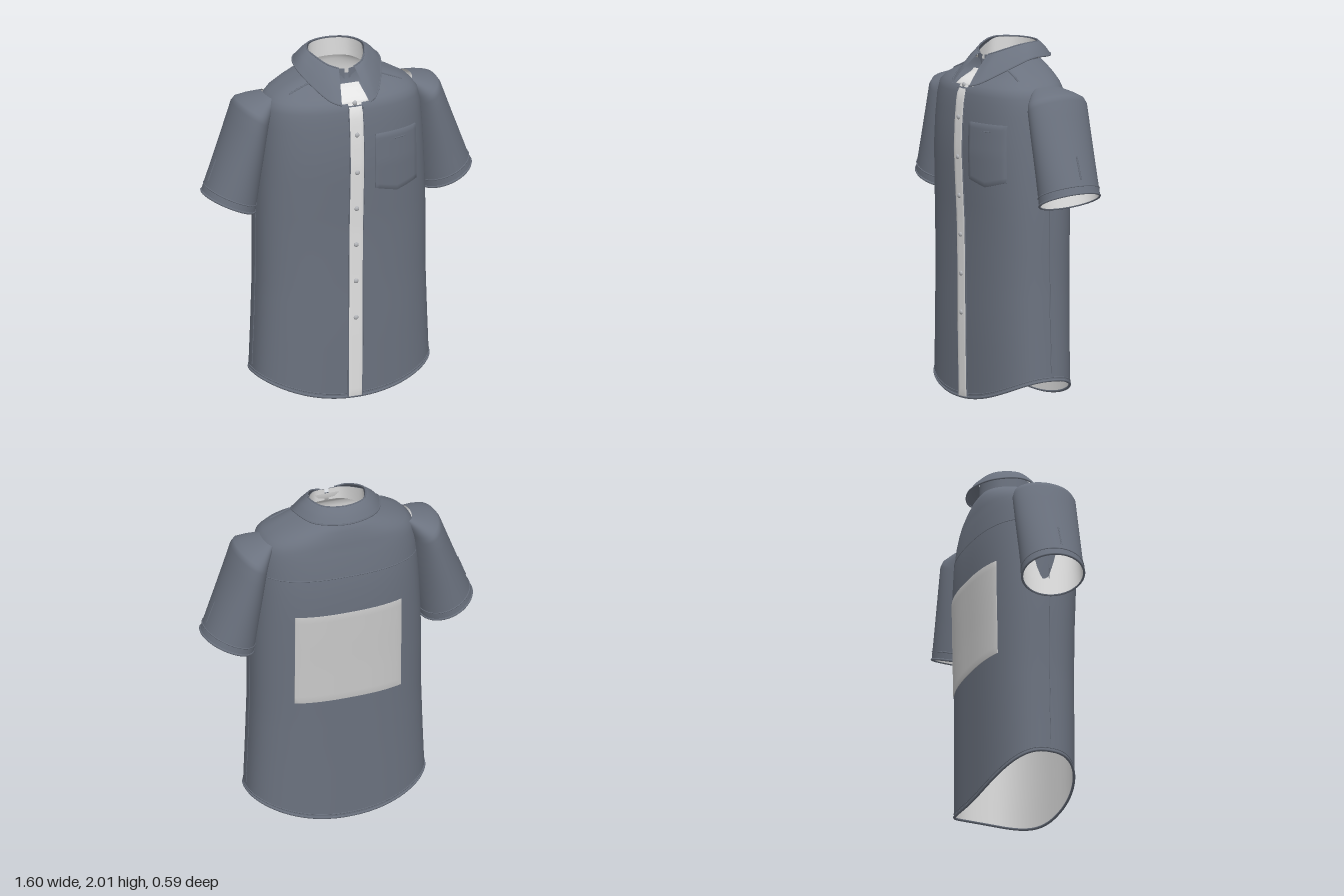
import * as THREE from 'three';

const cloth = new THREE.MeshStandardMaterial({ color: 0x6b727f, side: THREE.DoubleSide });
cloth.name = 'slate cloth';
const lining = new THREE.MeshStandardMaterial({ color: 0xe2e2e2 });
lining.name = 'pale lining';
const panel = new THREE.MeshStandardMaterial({ color: 0xcacaca });
panel.name = 'light grey panel';
const buttonGrey = new THREE.MeshStandardMaterial({ color: 0xb4b6ba });
buttonGrey.name = 'button grey';

const V = (x, y, z) => new THREE.Vector3(x, y, z);
const N = 2.5; // squareness of the body section
const SEG = 72;

// Body profile: height, half width, front depth, back depth
const BODY = [
  [0, .527, .255, .262], [.4, .51, .262, .267], [.7, .5, .263, .272], [1, .5, .268, .278],
  [1.2, .495, .278, .284], [1.4, .485, .287, .289], [1.55, .476, .283, .283], [1.68, .465, .272, .266],
  [1.75, .448, .258, .253], [1.79, .41, .22, .247], [1.83, .34, .15, .238], [1.87, .25, .125, .225], [1.9, .18, .12, .205],
];
// Sleeve rings from cuff to cap: outer x, y, inner x, y, front z, back z
const SLEEVE = [
  [.795, 1.225, .5, 1.1, .14, -.22], [.735, 1.385, .475, 1.28, .142, -.222], [.665, 1.57, .45, 1.46, .146, -.226],
  [.607, 1.725, .43, 1.62, .148, -.228], [.588, 1.752, .42, 1.66, .138, -.215], [.53, 1.768, .4, 1.71, .1, -.175],
  [.44, 1.785, .38, 1.755, .05, -.12],
];

function sample(table, t) {
  const i = Math.min(Math.floor(t), table.length - 2);
  return table[i].map((v, k) => THREE.MathUtils.lerp(v, table[i + 1][k], t - i));
}

function bodyAt(y) {
  let i = 0;
  while (i < BODY.length - 2 && y > BODY[i + 1][0]) i++;
  const f = THREE.MathUtils.clamp((y - BODY[i][0]) / (BODY[i + 1][0] - BODY[i][0]), 0, 1);
  return sample(BODY, i + f);
}

const power = (v) => Math.sign(v) * Math.abs(v) ** (2 / N);

// Point on the body at an angle from the front; the hem rises at the sides
function bodyPoint(a, level, off = 0) {
  const sx = power(Math.sin(a)), sz = power(Math.cos(a));
  const hem = .135 * sx * sx;
  const y = level < .6 ? hem + (.6 - hem) * level / .6 : level;
  const [, w, f, b] = bodyAt(y);
  return V((w + off) * sx, y, (sz > 0 ? f + off : b + off) * sz);
}

// Point on the front (dir 1) or back (dir -1) of the body at a given x and y
function bodyFace(x, y, dir, off) {
  const [, w, f, b] = bodyAt(y);
  const k = Math.max(0, 1 - Math.abs(x / w) ** N) ** (1 / N);
  return V(x, y, dir * ((dir > 0 ? f : b) * k + off));
}

function sleevePoint(t, a, off, side) {
  const [ox, oy, ix, iy, f, b] = sample(SLEEVE, t);
  const out = V((ox - ix) / 2, (oy - iy) / 2, 0);
  out.setLength(out.length() + off);
  const s = Math.sin(a);
  return V(side * ((ox + ix) / 2 + out.x * s), (oy + iy) / 2 + out.y * s, (f + b) / 2 + ((f - b) / 2 + off) * Math.cos(a));
}

// Skin over rows of points
function loft(rows, closed, flip) {
  const n = rows[0].length, idx = [];
  for (let r = 0; r < rows.length - 1; r++) {
    for (let c = 0; c < (closed ? n : n - 1); c++) {
      const d = (c + 1) % n;
      const [p, q, s, t] = [r * n + c, r * n + d, (r + 1) * n + d, (r + 1) * n + c];
      if (flip) idx.push(p, s, q, p, t, s);
      else idx.push(p, q, s, p, s, t);
    }
  }
  const g = new THREE.BufferGeometry().setFromPoints(rows.flat());
  g.setIndex(idx);
  g.computeVertexNormals();
  return g;
}

const ring = (fn) => Array.from({ length: SEG }, (_, i) => fn(i / SEG * Math.PI * 2));

// Thin panel following the body, with its rim turned down onto the cloth
function bodyPanel(span, yTop, yBottom, dir, off, nx, ny) {
  const rows = [];
  for (let j = -1; j <= ny + 1; j++) {
    const v = THREE.MathUtils.clamp(j / ny, 0, 1), row = [];
    for (let i = -1; i <= nx + 1; i++) {
      const u = THREE.MathUtils.clamp(i / nx, 0, 1);
      const rim = i < 0 || j < 0 || i > nx || j > ny;
      const y = THREE.MathUtils.lerp(yBottom(u), yTop, v);
      const [x0, x1] = span(y);
      row.push(bodyFace(THREE.MathUtils.lerp(x0, x1, u), y, dir, rim ? 0 : off));
    }
    rows.push(row);
  }
  return loft(rows, false, dir < 0);
}

function piping(points, radius, closed = false) {
  const curve = new THREE.CatmullRomCurve3(points, closed);
  return new THREE.TubeGeometry(curve, points.length * 2, radius, 5, closed);
}

// Mirror half a path (front edge to centre back) into a whole one
function wrap(half) {
  const left = half.map((p) => V(...p));
  const right = half.slice(0, -1).reverse().map(([x, y, z]) => V(-x, y, z));
  return new THREE.CatmullRomCurve3([...left, ...right]).getPoints(60);
}

export function createModel() {
  const model = new THREE.Group();
  const add = (name, geometry, material, parent = model) => {
    const m = new THREE.Mesh(geometry, material);
    m.name = name;
    parent.add(m);
    return m;
  };

  // Body and its lining
  const levels = [0, .1, .2, .3, .4, .5, .6, .7, .85, 1, 1.1, 1.2, 1.3, 1.4, 1.48, 1.55, 1.62, 1.68, 1.72, 1.75, 1.77, 1.79, 1.81, 1.83, 1.85, 1.87, 1.9];
  add('body', loft(levels.map((y) => ring((a) => bodyPoint(a, y))), true), cloth);
  add('bodyLining', loft(levels.map((y) => ring((a) => bodyPoint(a, y, -.008))), true, true), lining);
  add('hem', piping(ring((a) => bodyPoint(a, 0, -.002)), .008, true), cloth);
  add('hemStitch', piping(ring((a) => bodyPoint(a, .022)), .003, true), cloth);

  // Yoke and side seams
  const yoke = Array.from({ length: 25 }, (_, i) => bodyFace(-.44 + i * .88 / 24, 1.58, -1, 0));
  add('yokeSeam', piping(yoke, .003), cloth);
  for (const side of [1, -1]) {
    const seam = [.05, .3, .6, .85, 1.1, 1.3].map((y) => bodyPoint(side * Math.PI / 2, y));
    add('sideSeam', piping(seam, .003), cloth);
    const fold = [.2, .27, .34].map((x, i) => bodyFace(side * x, 1.865 - i * .028, 1, 0));
    add('shoulderFold', piping(fold, .006), cloth);
  }

  // Sleeves with lining, cuff edges and a short outer pleat
  const steps = [0, .33, .66, 1, 1.5, 2, 2.5, 3, 3.5, 4, 4.5, 5, 5.5, 6];
  for (const side of [1, -1]) {
    const sleeve = new THREE.Group();
    sleeve.name = side > 0 ? 'leftSleeve' : 'rightSleeve';
    model.add(sleeve);
    const rows = (off) => steps.map((t) => ring((a) => sleevePoint(t, a, off, side)));
    add('sleeveShell', loft(rows(0), true, side < 0), cloth, sleeve);
    add('sleeveLining', loft(rows(-.008), true, side > 0), lining, sleeve);
    add('cuffEdge', piping(ring((a) => sleevePoint(0, a, -.002, side)), .007, true), cloth, sleeve);
    add('cuffStitch', piping(ring((a) => sleevePoint(.25, a, 0, side)), .004, true), cloth, sleeve);
    add('sleevePleat', piping([.45, .8, 1.2].map((t) => sleevePoint(t, Math.PI / 2, 0, side)), .005), cloth, sleeve);
  }

  // Button placket and the pale opening under the collar
  add('placket', bodyPanel(() => [-.04, .04], 1.765, () => .004, 1, .006, 4, 40), lining);
  add('neckOpening', bodyPanel((y) => {
    const w = .085 - (y - 1.765) * .25;
    return [-w, w];
  }, 1.845, () => 1.765, 1, .007, 6, 8), lining);
  for (const side of [1, -1]) {
    const edge = levels.filter((y) => y < 1.77).map((y) => bodyFace(side * .042, Math.max(y, .005), 1, .003));
    add('placketEdge', piping(edge, .004), cloth);
  }
  for (const y of [1.765, 1.585, 1.36, 1.14, .92, .7, .48]) {
    const button = add('button', new THREE.SphereGeometry(.014, 16, 10), buttonGrey);
    button.position.copy(bodyFace(0, y, 1, .008));
    button.scale.z = .6;
  }

  // Chest pocket with a pointed bottom
  const pocketBottom = (u) => 1.215 + .035 * Math.abs(u - .5) * 2;
  const pocketSpan = () => [.112, .382];
  add('pocket', bodyPanel(pocketSpan, 1.572, pocketBottom, 1, .012, 12, 12), cloth);
  add('pocketStitch', piping([.23, .265, .3].map((x) => bodyFace(x, 1.53, 1, .012)), .003), cloth);

  // Large panel on the back
  add('backPanel', bodyPanel(() => [-.315, .315], 1.35, () => .785, -1, .005, 20, 14), panel);

  // Collar stand
  const standTop = wrap([[.012, 1.925, .122], [.08, 1.935, .105], [.15, 1.97, .0], [.16, 1.99, -.06], [.115, 1.992, -.155], [0, 1.992, -.195]]);
  const standBase = wrap([[.012, 1.85, .128], [.085, 1.855, .11], [.16, 1.87, .01], [.168, 1.88, -.06], [.122, 1.885, -.16], [0, 1.885, -.2]]);
  add('collarStand', loft([standBase, standTop], false), cloth);
  const inset = (p) => V(p.x * .97, p.y, (p.z + .04) * .97 - .04);
  add('collarLining', loft([standBase.map(inset), standTop.map(inset)], false, true), lining);

  // Folded collar with pointed tips
  const top = wrap([[.045, 1.93, .118], [.1, 1.95, .095], [.155, 1.985, 0], [.165, 1.995, -.06], [.12, 1.995, -.16], [0, 1.995, -.2]]);
  const bottom = wrap([[.085, 1.768, .272], [.135, 1.785, .235], [.215, 1.86, .1], [.25, 1.92, -.04], [.185, 1.92, -.2], [0, 1.92, -.27]]);
  const fall = [0, .25, .5, .75, .9, 1].map((v) => bottom.map((p, i) => {
    const q = p.clone().lerp(top[i], v);
    q.y += .05 * v * (1 - v) + (v > .8 && v < 1 ? .003 : 0);
    return q;
  }));
  add('collar', loft(fall, false), cloth);
  add('collarEdge', piping(bottom, .005), cloth);
  add('collarFold', piping(top, .005), cloth);
  return model;
}
